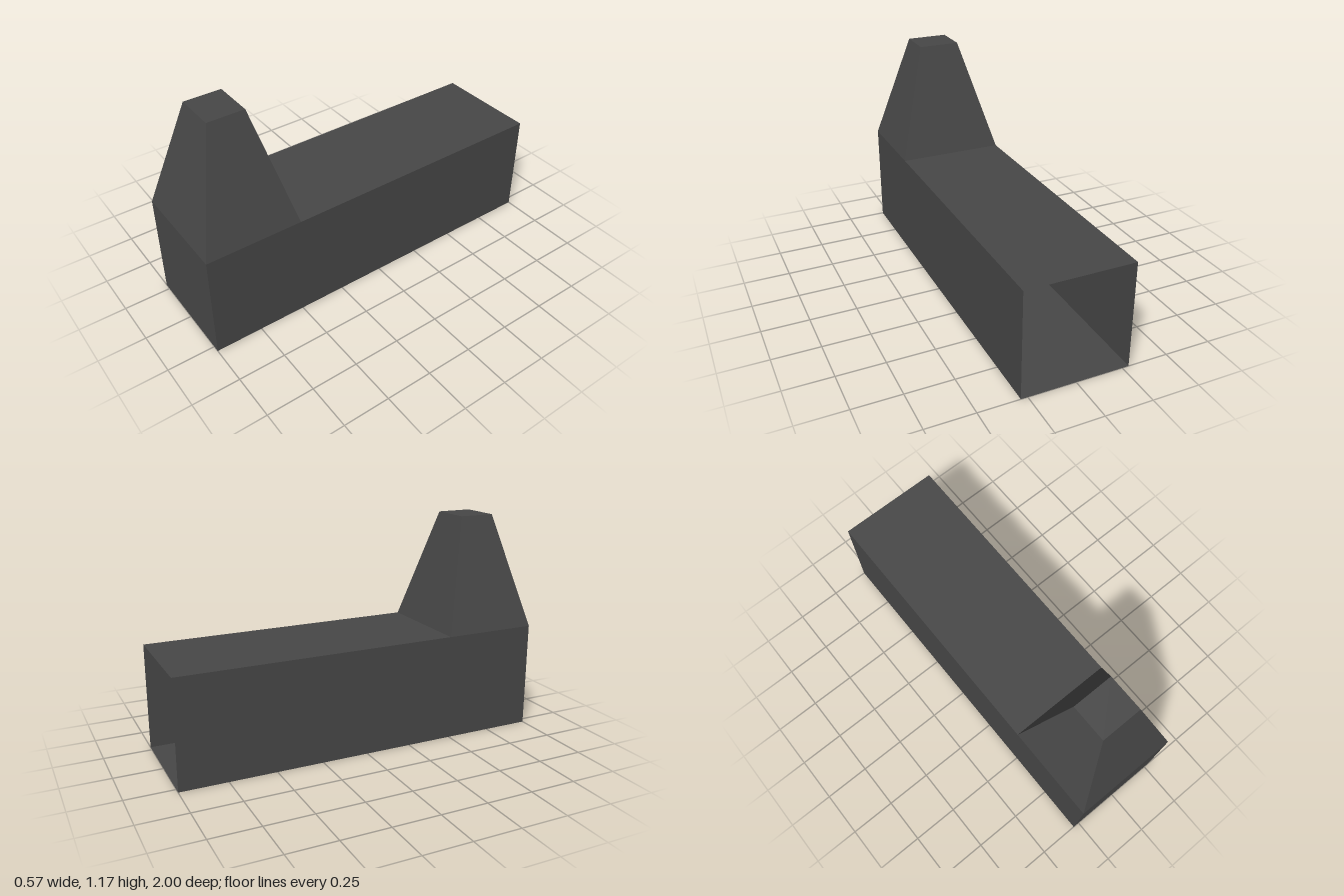
import * as THREE from 'three';

const W = 0.285, H = 0.57, TOP = 1.175; // half width, body height, overall height

// Rectangle at height y: front left, front right, back right, back left
const ring = (y, x, zBack, zFront) => [[-x, y, zFront], [x, y, zFront], [x, y, zBack], [-x, y, zBack]];

// Walls joining two rings; sides picks which of the four to build
const walls = (a, b, sides = [0, 1, 2, 3]) =>
  sides.map((i) => [a[i], a[(i + 1) % 4], b[(i + 1) % 4], b[i]]);

// Flat-faced shell from four-cornered faces
function shell(name, quads, material) {
  const points = quads.flatMap(([a, b, c, d]) => [a, b, c, a, c, d]).flat();
  const geometry = new THREE.BufferGeometry();
  geometry.setAttribute('position', new THREE.Float32BufferAttribute(points, 3));
  geometry.computeVertexNormals();
  const mesh = new THREE.Mesh(geometry, material);
  mesh.name = name;
  return mesh;
}

export function createModel() {
  const group = new THREE.Group();
  group.name = 'hollowChannelWithTower';
  const darkGrey = new THREE.MeshStandardMaterial({ color: 0x474747, side: THREE.DoubleSide });
  darkGrey.name = 'darkGrey';

  // Long hollow body: front and side walls, open at the back
  const base = ring(0, W, -1, 1);
  group.add(shell('bodyWalls', walls(base, ring(H, W, -1, 1), [0, 1, 3]), darkGrey));
  group.add(shell('floor', [[...base].reverse()], darkGrey));
  group.add(shell('roof', [ring(H, W, -1, 0.49)], darkGrey));

  // Tapered tower over the front end, open to the body below
  const towerTop = ring(TOP, 0.11, 0.645, 0.84);
  group.add(shell('towerWalls', walls(ring(H, W, 0.49, 1), towerTop), darkGrey));
  group.add(shell('towerCap', [towerTop], darkGrey));

  return group;
}
